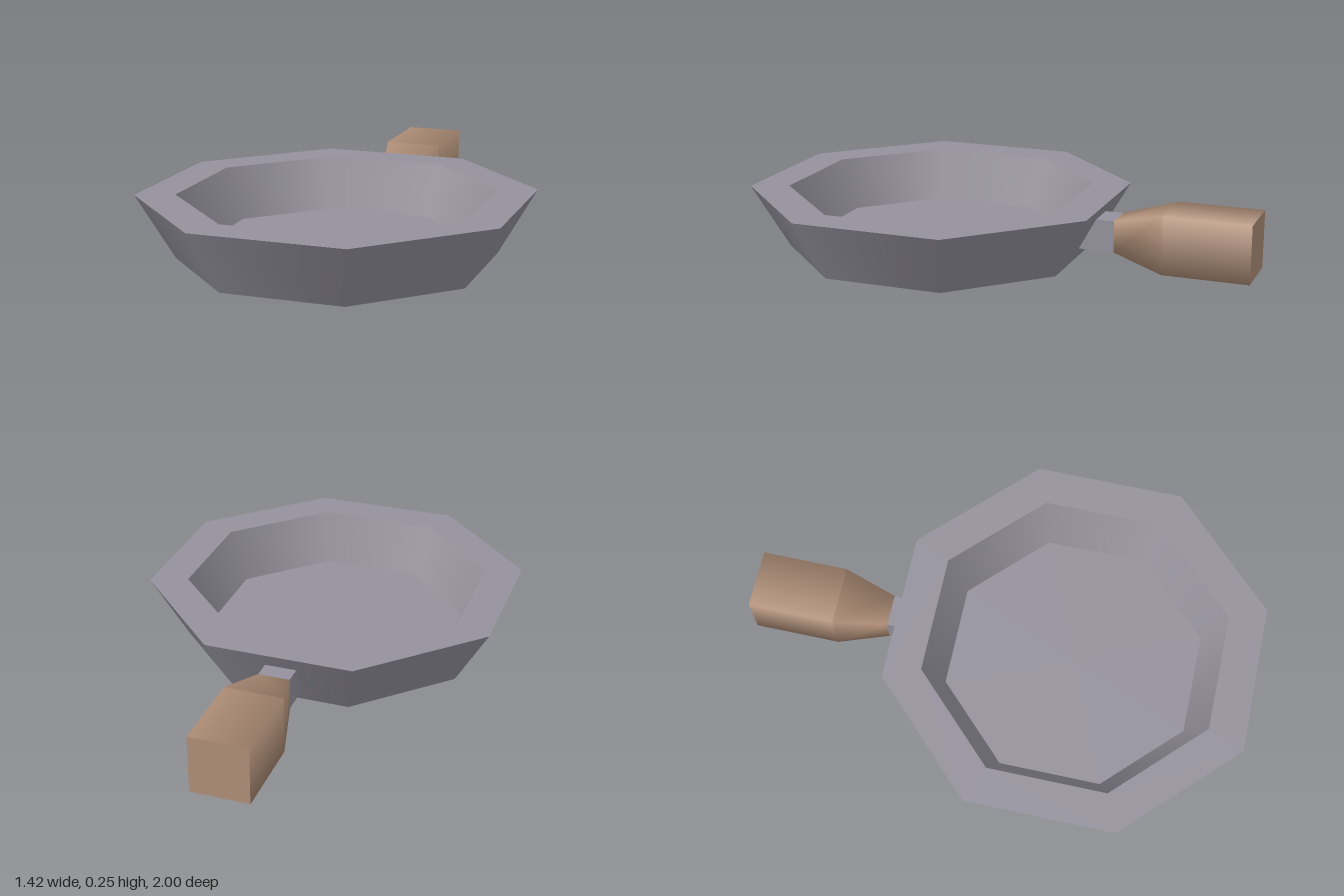
import * as THREE from 'three';
import { mergeGeometries } from 'three/addons/utils/BufferGeometryUtils.js';

// Turned solid with few sides: every profile segment is its own band, so rims
// stay sharp while shading runs smoothly around. Radii are given to the flats.
function turned(profile, sides) {
  const k = 1 / Math.cos(Math.PI / sides);
  const bands = [];
  for (let i = 0; i < profile.length - 1; i++) {
    const pts = [profile[i], profile[i + 1]].map(([r, y]) => new THREE.Vector2(r * k, y));
    bands.push(new THREE.LatheGeometry(pts, sides, Math.PI / sides));
  }
  return mergeGeometries(bands);
}

export function createModel() {
  const model = new THREE.Group();
  model.name = 'fryingPan';
  const metal = new THREE.MeshStandardMaterial({ color: 0x95929d });
  metal.name = 'grey metal';
  const wood = new THREE.MeshStandardMaterial({ color: 0xb08f78 });
  wood.name = 'brown wood';

  const add = (name, geometry, material, x, y, z) => {
    const mesh = new THREE.Mesh(geometry, material);
    mesh.name = name;
    mesh.position.set(x, y, z);
    model.add(mesh);
    return mesh;
  };

  // Octagonal bowl: base, outer wall, rim, inner wall, cooking floor
  add('bowl', turned([
    [0, 0], [0.57, 0], [0.708, 0.25], [0.565, 0.25], [0.483, 0.05], [0, 0.05],
  ], 8), metal, 0, 0, 0.292);

  // Short square neck between the bowl and the handle
  add('neck', new THREE.BoxGeometry(0.125, 0.125, 0.17), metal, 0, 0.127, -0.385);

  // Square handle with a tapered front, running back along z
  const handle = add('handle', turned([
    [0, 0], [0.115, 0], [0.115, 0.34], [0.063, 0.545], [0, 0.545],
  ], 4), wood, 0, 0.127, -1);
  handle.rotation.x = Math.PI / 2;

  return model;
}
